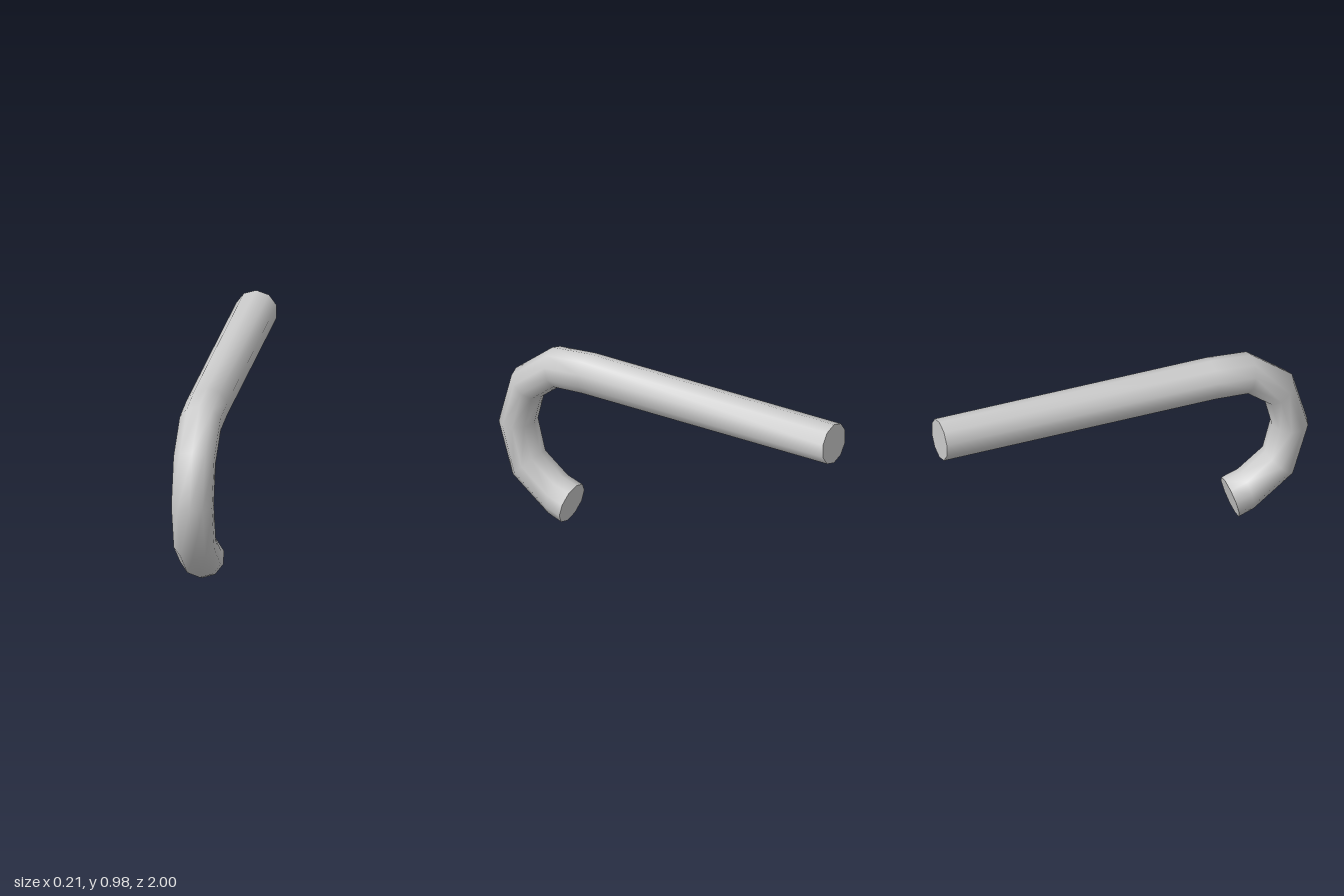
import * as THREE from 'three';

const SIDES = 10;
const RADIUS = 0.11;

// Stations along the bar: outer edge [z, y], inner edge [z, y]
const STATIONS = [
  [-1.0, 0.981, -1.0, 0.765],
  [0.48, 0.981, 0.48, 0.765],
  [0.7, 0.96, 0.65, 0.755],
  [0.92, 0.785, 0.77, 0.66],
  [1.0, 0.495, 0.81, 0.5],
  [0.912, 0.205, 0.77, 0.34],
  [0.69, 0.033, 0.645, 0.245],
  [0.61, 0.003, 0.555, 0.215],
];

// Ten-sided ring spanning the outer and inner edge of one station
function ring([oz, oy, iz, iy]) {
  return Array.from({ length: SIDES }, (_, j) => {
    const a = (j / SIDES) * Math.PI * 2;
    const t = (1 - Math.cos(a)) / 2;
    return new THREE.Vector3(
      RADIUS * Math.sin(a),
      THREE.MathUtils.lerp(oy, iy, t),
      THREE.MathUtils.lerp(oz, iz, t)
    );
  });
}

function makeGeometry(points, index) {
  const g = new THREE.BufferGeometry().setFromPoints(points);
  g.setIndex(index);
  g.computeVertexNormals();
  return g;
}

// Smooth skin joining all the rings
function tubeSkin(rings) {
  const index = [];
  for (let i = 0; i < rings.length - 1; i++) {
    for (let j = 0; j < SIDES; j++) {
      const k = (j + 1) % SIDES;
      const a = i * SIDES + j, c = i * SIDES + k;
      const b = a + SIDES, d = c + SIDES;
      index.push(a, b, c, b, d, c);
    }
  }
  return makeGeometry(rings.flat(), index);
}

// Flat end face over one ring
function endCap(points, flip) {
  const index = [];
  for (let j = 1; j < SIDES - 1; j++) {
    index.push(0, flip ? j + 1 : j, flip ? j : j + 1);
  }
  return makeGeometry(points, index);
}

export function createModel() {
  const group = new THREE.Group();
  group.name = 'hookedBar';
  const material = new THREE.MeshStandardMaterial({ color: 0xcccccc });
  const rings = STATIONS.map(ring);

  const add = (name, geometry) => {
    const mesh = new THREE.Mesh(geometry, material);
    mesh.name = name;
    group.add(mesh);
  };

  add('bentBar', tubeSkin(rings));
  add('rearEndCap', endCap(rings[0], false));
  add('hookEndCap', endCap(rings[rings.length - 1], true));
  return group;
}
